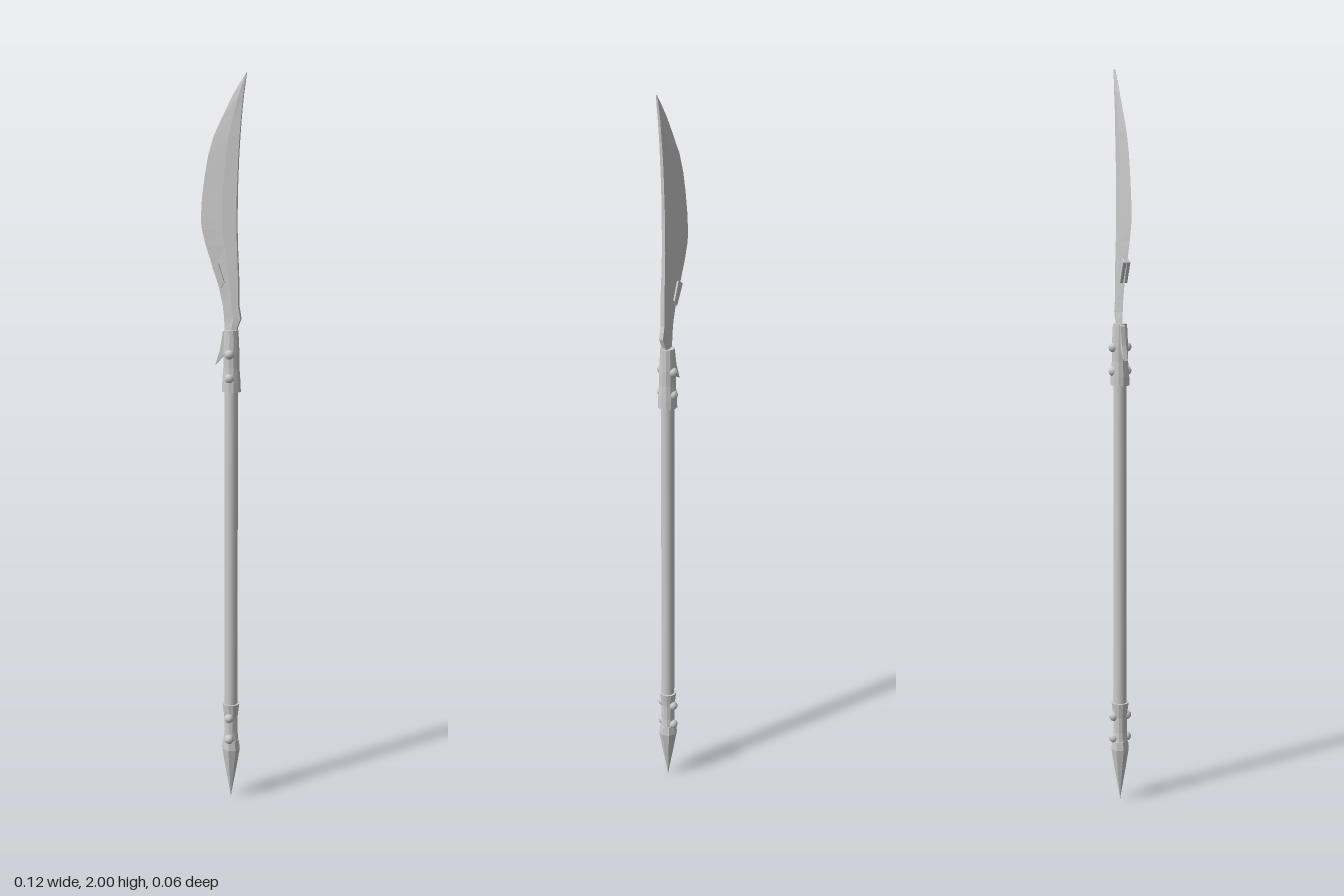
import * as THREE from 'three';

const AXIS = 0.021; // x of the shaft
const grey = new THREE.MeshStandardMaterial({ color: 0xcccccc, flatShading: true, side: THREE.DoubleSide });
const smooth = new THREE.MeshStandardMaterial({ color: 0xcccccc });

function add(group, name, geometry, material = grey) {
  const mesh = new THREE.Mesh(geometry, material);
  mesh.name = name;
  group.add(mesh);
  return mesh;
}

// Turned part around the shaft axis from [radius, y] pairs
function turned(profile, sides) {
  const g = new THREE.LatheGeometry(profile.map(([r, y]) => new THREE.Vector2(r, y)), sides);
  return g.translate(AXIS, 0, 0);
}

// Flat plate from [x, y] corners, centred on z = 0
function plate(corners, thickness) {
  const shape = new THREE.Shape(corners.map(([x, y]) => new THREE.Vector2(x, y)));
  return new THREE.ExtrudeGeometry(shape, { depth: thickness, bevelEnabled: false }).translate(0, 0, -thickness / 2);
}

// Blade lofted from rows of [y, cutting edge x, spine x, half thickness]
function bladeGeometry() {
  const rows = [
    [1.32, 0.002, 0.036, 0.008], [1.345, 0.002, 0.037, 0.008], [1.37, 0.001, 0.047, 0.008],
    [1.405, -0.003, 0.041, 0.008], [1.45, -0.013, 0.041, 0.008], [1.49, -0.026, 0.04, 0.008],
    [1.56, -0.049, 0.037, 0.007], [1.6, -0.059, 0.036, 0.007], [1.625, -0.062, 0.036, 0.007],
    [1.68, -0.059, 0.036, 0.007], [1.74, -0.051, 0.038, 0.006], [1.79, -0.042, 0.04, 0.006],
    [1.84, -0.027, 0.043, 0.006], [1.89, -0.003, 0.047, 0.005], [1.94, 0.022, 0.052, 0.005],
    [1.975, 0.043, 0.057, 0.004], [2.0, 0.06, 0.061, 0.002],
  ];
  const pos = [], index = [], n = 5;
  rows.forEach(([y, edge, spine, t]) => {
    const ridge = edge + (spine - edge) * 0.6;
    pos.push(edge, y, 0, ridge, y, t, spine, y, t * 0.8, spine, y, -t * 0.8, ridge, y, -t);
  });
  for (let i = 0; i < rows.length - 1; i++) {
    for (let j = 0; j < n; j++) {
      const a = i * n + j, b = i * n + (j + 1) % n;
      index.push(a, b, b + n, a, b + n, a + n);
    }
  }
  const last = (rows.length - 1) * n;
  for (let j = 1; j < n - 1; j++) {
    index.push(0, j + 1, j, last, last + j, last + j + 1);
  }
  const g = new THREE.BufferGeometry();
  g.setAttribute('position', new THREE.Float32BufferAttribute(pos, 3));
  g.setIndex(index);
  g.computeVertexNormals();
  return g;
}

export function createModel() {
  const group = new THREE.Group();
  group.name = 'glaive';

  // Shaft
  const shaft = new THREE.CylinderGeometry(0.018, 0.018, 0.96, 16);
  add(group, 'shaft', shaft.translate(AXIS, 0.73, 0), smooth);

  // Blade with its barbs
  add(group, 'blade', bladeGeometry());
  add(group, 'bladeBarb', plate([[-0.029, 1.505], [-0.006, 1.45], [0.004, 1.465], [-0.012, 1.515]], 0.02));
  add(group, 'socketBarb', plate([[-0.022, 1.245], [0.004, 1.275], [0.006, 1.34], [-0.001, 1.335], [-0.009, 1.285]], 0.012));

  // Upper socket
  add(group, 'socket', turned([
    [0.017, 1.175], [0.026, 1.175], [0.025, 1.2], [0.022, 1.24], [0.022, 1.28], [0.019, 1.34], [0, 1.34],
  ], 12));

  // Butt collar and spike
  add(group, 'buttCollar', turned([
    [0, 0.165], [0.022, 0.165], [0.019, 0.2], [0.019, 0.245], [0.024, 0.285], [0.017, 0.285],
  ], 12));
  add(group, 'buttSpike', turned([[0, 0], [0.005, 0.03], [0.016, 0.09], [0.026, 0.15], [0.023, 0.175], [0, 0.18]], 8));

  // Rivets on front and back of both sockets
  for (const y of [0.183, 0.246, 1.213, 1.277]) {
    for (const side of [-1, 1]) {
      const rivet = add(group, 'rivet', new THREE.SphereGeometry(0.013, 10, 8), smooth);
      rivet.position.set(AXIS, y, side * 0.019);
    }
  }
  return group;
}
